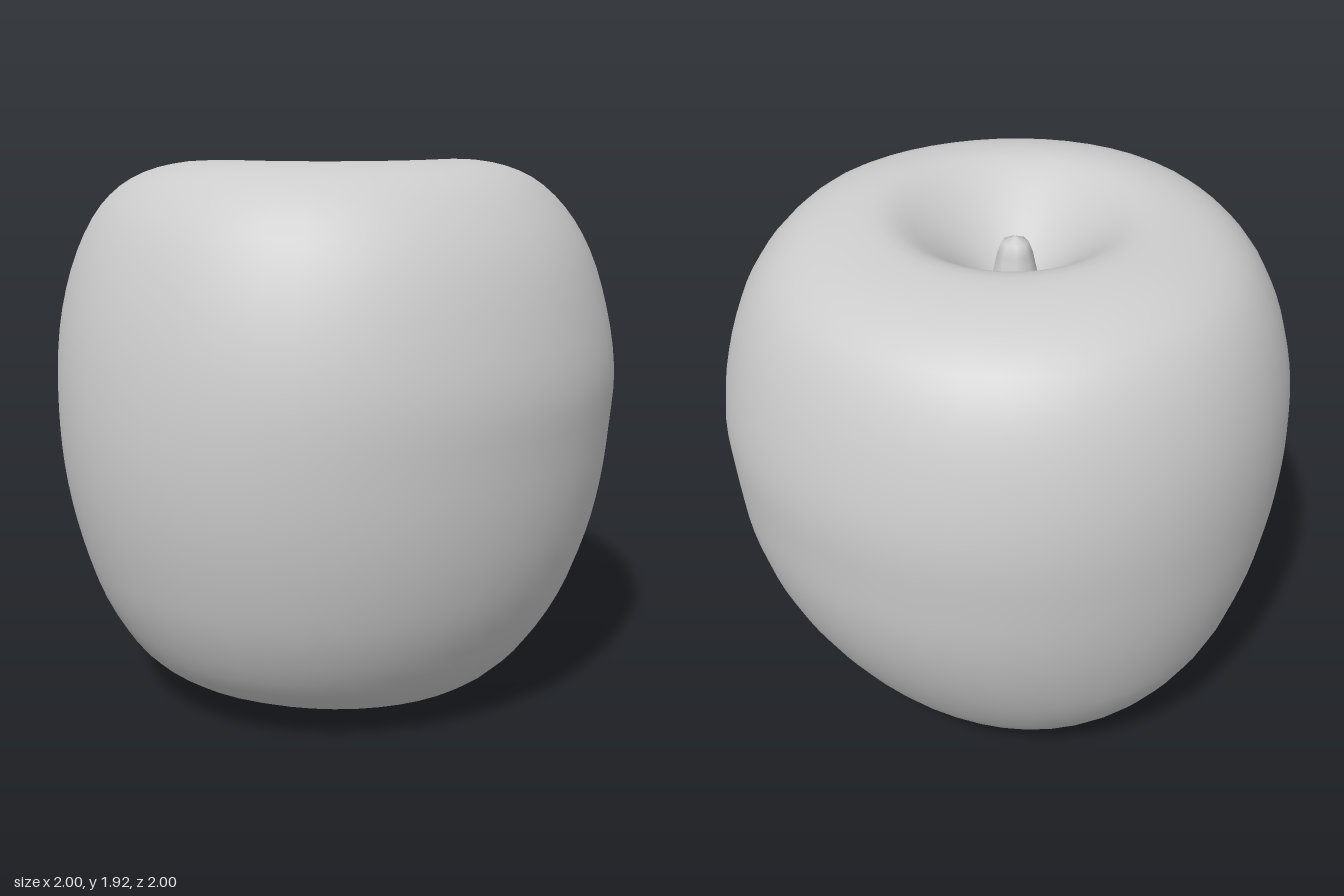
import * as THREE from 'three';

// Flesh profiles [radius, height], from the base hollow, over the side, to the stem bowl
const RIGHT_EDGE = [[0, .27], [.1, .24], [.2, .14], [.32, .04], [.46, .03], [.6, .07], [.74, .2], [.86, .4], [.93, .6], [.97, .8],
  [.99, 1], [1, 1.2], [.965, 1.4], [.9, 1.6], [.81, 1.75], [.7, 1.86], [.57, 1.91], [.42, 1.91], [.28, 1.82], [.16, 1.72], [.07, 1.65], [0, 1.64]];
const FRONT = [[0, .27], [.1, .24], [.2, .15], [.32, .08], [.46, .07], [.6, .09], [.76, .2], [.88, .4], [.945, .6], [.985, .8],
  [1, 1], [.99, 1.2], [.955, 1.4], [.89, 1.6], [.81, 1.75], [.7, 1.86], [.57, 1.91], [.42, 1.91], [.28, 1.82], [.16, 1.72], [.07, 1.65], [0, 1.64]];
const LEFT_EDGE = [[0, .27], [.1, .24], [.2, .14], [.32, .05], [.44, .03], [.58, .07], [.72, .2], [.85, .4], [.92, .6], [.965, .8],
  [.99, 1], [1, 1.2], [.985, 1.4], [.93, 1.6], [.84, 1.75], [.73, 1.83], [.56, 1.88], [.42, 1.88], [.28, 1.8], [.16, 1.71], [.07, 1.65], [0, 1.64]];
const BACK = [[0, .27], [.1, .24], [.18, .13], [.27, .01], [.39, .01], [.52, .07], [.66, .2], [.8, .4], [.9, .6], [.96, .8],
  [.985, 1], [.995, 1.2], [.965, 1.4], [.9, 1.6], [.81, 1.74], [.68, 1.82], [.53, 1.86], [.4, 1.865], [.28, 1.8], [.16, 1.71], [.07, 1.65], [0, 1.64]];

const CENTRE_X = -0.03, CENTRE_Z = -0.02;

// Sweep the four profiles around the axis, blending between neighbours
function fleshGeometry(rows = 63, segments = 48) {
  const curves = [RIGHT_EDGE, FRONT, LEFT_EDGE, BACK].map(profile =>
    new THREE.CatmullRomCurve3(profile.map(([r, y]) => new THREE.Vector3(r, y, 0))));
  const position = [], index = [];
  for (let i = 0; i <= rows; i++) {
    const points = curves.map(curve => curve.getPoint(i / rows));
    for (let j = 0; j < segments; j++) {
      const a = j / segments * Math.PI * 2;
      const quarter = Math.floor(j * 4 / segments);
      const blend = Math.sin(a - quarter * Math.PI / 2) ** 2;
      const p = points[quarter].clone().lerp(points[(quarter + 1) % 4], blend);
      // fuller shoulders behind, slimmer in front; hollows sit slightly off centre
      const r = Math.max(0, p.x) * (1 - 0.05 * Math.sin(a) * Math.cos(a) ** 2);
      const shift = Math.max(0, 1 - r) ** 2;
      position.push(r * Math.cos(a) + CENTRE_X * shift, p.y, r * Math.sin(a) + CENTRE_Z * shift);
      if (i < rows) {
        const n = (j + 1) % segments, k = i * segments;
        const A = k + j, B = k + segments + j, C = k + segments + n, D = k + n;
        if (i < rows - 1) index.push(A, B, C);
        if (i > 0) index.push(A, C, D);
        else if (i === rows - 1) index.push(A, B, D);
      }
    }
  }
  const geometry = new THREE.BufferGeometry();
  geometry.setAttribute('position', new THREE.Float32BufferAttribute(position, 3));
  geometry.setIndex(index);
  geometry.computeVertexNormals();
  return geometry;
}

export function createModel() {
  const model = new THREE.Group();
  model.name = 'apple';
  const grey = new THREE.MeshStandardMaterial({ color: 0xcccccc });
  grey.name = 'light grey';

  const flesh = new THREE.Mesh(fleshGeometry(), grey);
  flesh.name = 'flesh';
  model.add(flesh);

  // Short stub of a stem with a flared foot and rounded tip
  const stemProfile = [[.1, 1.64], [.075, 1.68], [.06, 1.75], [.045, 1.79], [0, 1.81]]
    .map(([r, y]) => new THREE.Vector2(r, y));
  const stem = new THREE.Mesh(new THREE.LatheGeometry(stemProfile, 8), grey);
  stem.name = 'stem';
  stem.position.set(CENTRE_X, 0, CENTRE_Z);
  model.add(stem);

  return model;
}
